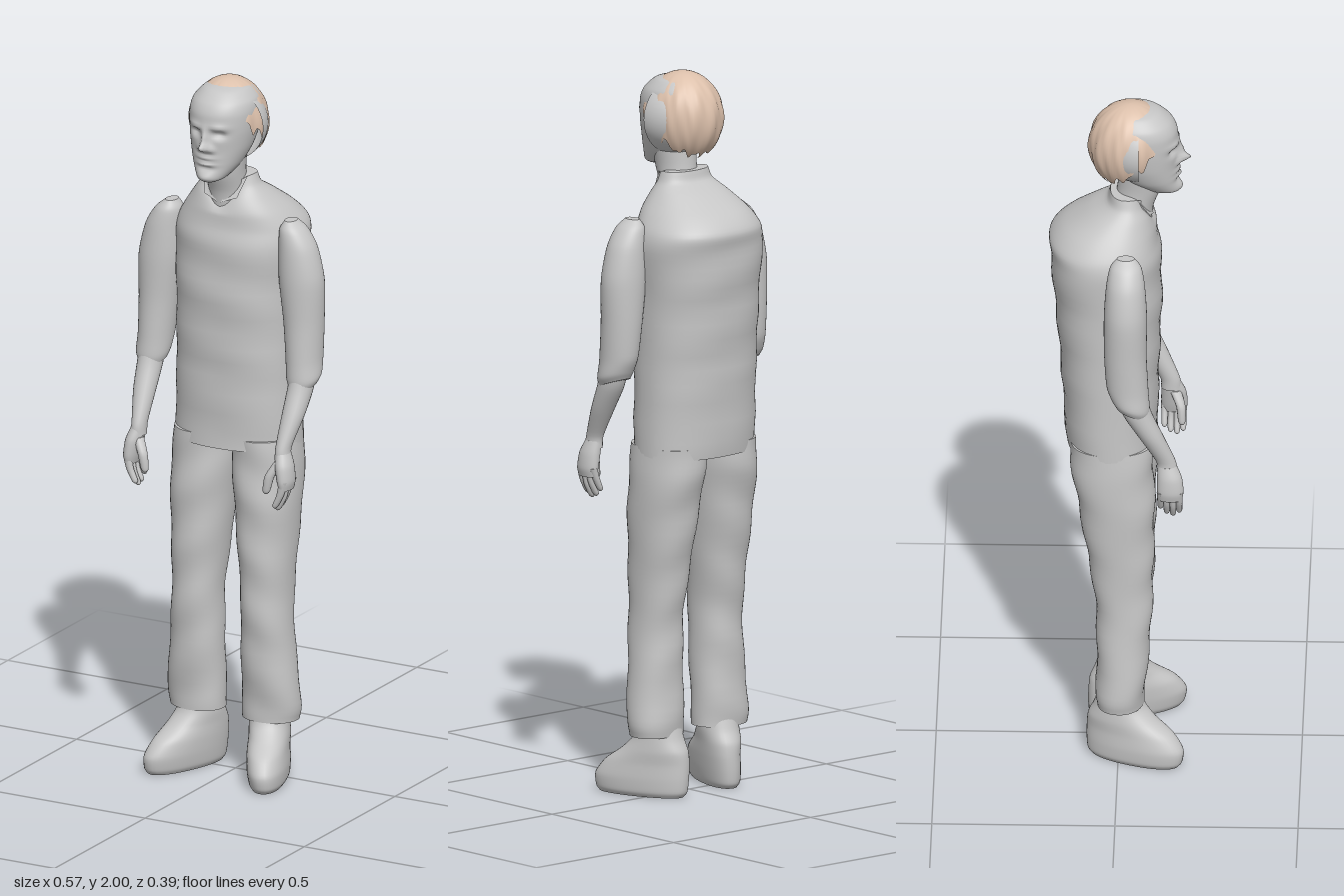
import * as THREE from 'three';

const grey = new THREE.MeshStandardMaterial({ color: 0xc6c6c6, side: THREE.DoubleSide });
grey.name = 'plain grey';
const tan = new THREE.MeshStandardMaterial({ color: 0xdcc0ab, side: THREE.DoubleSide });
tan.name = 'hair tan';

// Indexed grid of rows x cols quads, wrapping around each row
function ringGeometry(points, rows, cols, flip) {
  const index = [];
  for (let i = 0; i < rows - 1; i++) {
    for (let j = 0; j < cols; j++) {
      const k = (j + 1) % cols;
      const a = i * cols + j, b = i * cols + k, c = a + cols, d = b + cols;
      if (flip) index.push(a, c, b, b, c, d);
      else index.push(a, b, c, b, d, c);
    }
  }
  const geo = new THREE.BufferGeometry();
  geo.setAttribute('position', new THREE.Float32BufferAttribute(points, 3));
  geo.setIndex(index);
  geo.computeVertexNormals();
  return geo;
}

// Smooth loft through rows [y, cx, cz, rx, rz], listed from bottom to top.
// side mirrors x, power squares the section, rule moves each point.
function loft(name, rows, { side = 1, power = 2, rule, steps = 5, cols = 40, yaw = 0 } = {}) {
  const group = new THREE.Group();
  group.name = name;
  const centres = new THREE.CatmullRomCurve3(rows.map(r => new THREE.Vector3(r[1], r[0], r[2])), false, 'catmullrom', 0.4);
  const radii = new THREE.CatmullRomCurve3(rows.map(r => new THREE.Vector3(r[3], 0, r[4])), false, 'catmullrom', 0.4);
  const n = (rows.length - 1) * steps, points = [], p = new THREE.Vector3();
  const round = v => Math.sign(v) * Math.abs(v) ** (2 / power);
  for (let i = 0; i <= n; i++) {
    const c = centres.getPoint(i / n), r = radii.getPoint(i / n);
    for (let j = 0; j < cols; j++) {
      const a = j / cols * Math.PI * 2;
      const x = round(Math.sin(a)) * r.x, z = round(Math.cos(a)) * r.z;
      p.set(c.x + x * Math.cos(yaw) + z * Math.sin(yaw), c.y, c.z - x * Math.sin(yaw) + z * Math.cos(yaw));
      if (rule) rule(p);
      points.push(p.x * side, p.y, p.z);
    }
  }
  const body = new THREE.Mesh(ringGeometry(points, n + 1, cols, side < 0), grey);
  body.name = name + 'Surface';
  group.add(body);

  // end caps as separate fans so their edges stay sharp
  for (const row of [0, n]) {
    const ring = points.slice(row * cols * 3, (row + 1) * cols * 3);
    const mid = centres.getPoint(row / n);
    if (rule) rule(mid);
    const fan = [];
    for (let j = 0; j < cols; j++) fan.push(mid.x * side, mid.y, mid.z);
    const cap = new THREE.Mesh(ringGeometry(row ? [...ring, ...fan] : [...fan, ...ring], 2, cols, side < 0), grey);
    cap.name = name + (row ? 'Top' : 'Bottom');
    group.add(cap);
  }
  return group;
}

const bell = (v, width) => Math.exp(-((v / width) ** 2));

// Face relief: [x, y, width, height, depth], pushed along z
const relief = [
  [0, 1.832, 0.014, 0.012, 0.03], [0, 1.855, 0.010, 0.025, 0.016],
  [0.019, 1.825, 0.010, 0.009, 0.008], [-0.019, 1.825, 0.010, 0.009, 0.008],
  [0.036, 1.868, 0.019, 0.011, -0.014], [-0.036, 1.868, 0.019, 0.011, -0.014],
  [0.037, 1.888, 0.024, 0.008, 0.007], [-0.037, 1.888, 0.024, 0.008, 0.007],
  [0, 1.800, 0.026, 0.006, 0.009], [0, 1.784, 0.022, 0.006, 0.009],
  [0, 1.792, 0.026, 0.003, -0.006], [0, 1.770, 0.026, 0.007, -0.006], [0, 1.746, 0.024, 0.012, 0.008],
];
function faceRule(p) {
  if (p.z < 0.075) return;
  const front = Math.min(1, (p.z - 0.075) / 0.04);
  let dz = 0;
  for (const [x, y, w, h, d] of relief) dz += d * bell(p.x + 0.004 - x, w) * bell(p.y - y, h);
  p.z += dz * front;
}

function makeHair() {
  const cols = 96, rows = 26, points = [];
  for (let i = 0; i < rows; i++) {
    for (let j = 0; j < cols; j++) {
      const a = j / cols * Math.PI * 2;
      const front = (1 + Math.cos(a)) / 2;
      // ragged hairline: short over the brow, long at the nape
      const edge = 2.42 - 1.35 * front ** 1.4 + 0.09 * Math.sin(a * 13) + 0.06 * Math.sin(a * 23 + 1)
        - 0.3 * bell(a - 0.25, 0.16);
      const t = edge * i / (rows - 1);
      const lock = 1 + 0.018 * Math.sin(a * 11 + t * 3) * Math.sin(t) + 0.012 * Math.sin(a * 21 - t * 5) * Math.sin(t);
      const s = Math.sin(t) * lock;
      const x = s * Math.sin(a) * 0.107, z = s * Math.cos(a) * 0.114;
      points.push(x - 0.004 + z * 0.1, 1.872 + Math.cos(t) * 0.128, 0.031 + z - x * 0.1);
    }
  }
  const hair = new THREE.Mesh(ringGeometry(points, rows, cols, true), tan);
  hair.name = 'hair';
  return hair;
}

export function createModel() {
  const model = new THREE.Group();
  model.name = 'standingMan';

  // Shirt, with the neckline dipping at the front
  model.add(loft('shirt', [
    [0.95, 0, -0.02, 0.182, 0.125], [1.2, 0, -0.025, 0.179, 0.135], [1.4, 0, -0.03, 0.18, 0.147],
    [1.53, 0.003, -0.037, 0.188, 0.151], [1.58, 0.003, -0.041, 0.179, 0.149], [1.625, 0.002, -0.024, 0.15, 0.128],
    [1.67, 0, 0.0, 0.112, 0.088], [1.7, 0, 0.018, 0.086, 0.054], [1.73, 0, 0.02, 0.074, 0.044],
  ], {
    power: 2.25, cols: 64,
    rule: p => {
      const t = THREE.MathUtils.clamp((p.y - 1.62) / 0.11, 0, 1);
      if (p.z > 0.02) p.y -= 0.06 * t * bell(p.x, 0.04) * Math.min(1, (p.z - 0.02) / 0.03);
      p.z += 0.003 * Math.sin(p.y * 42 + p.x * 9) * (1 - t);
    },
  }));

  // Collar flaps
  for (const side of [-1, 1]) {
    const flap = new THREE.BufferGeometry();
    const pts = [0.006, 1.655, 0.094, 0.052, 1.672, 0.085, 0.066, 1.728, 0.05, 0.038, 1.71, 0.075];
    flap.setAttribute('position', new THREE.Float32BufferAttribute(pts.map((v, i) => i % 3 ? v : v * side), 3));
    flap.setIndex(side > 0 ? [0, 1, 2, 0, 2, 3] : [0, 2, 1, 0, 3, 2]);
    flap.computeVertexNormals();
    const mesh = new THREE.Mesh(flap, grey);
    mesh.name = side > 0 ? 'leftCollar' : 'rightCollar';
    model.add(mesh);
  }

  // Neck and head
  model.add(loft('neck', [
    [1.6, 0, 0.03, 0.056, 0.056], [1.68, 0, 0.04, 0.054, 0.054], [1.74, 0, 0.055, 0.055, 0.06], [1.8, 0, 0.06, 0.062, 0.06],
  ]));
  model.add(loft('head', [
    [1.73, -0.004, 0.135, 0.02, 0.022], [1.74, -0.004, 0.12, 0.04, 0.046], [1.775, -0.004, 0.088, 0.065, 0.074],
    [1.82, -0.003, 0.067, 0.082, 0.092], [1.87, -0.002, 0.055, 0.091, 0.107], [1.92, -0.002, 0.05, 0.093, 0.109],
    [1.95, -0.002, 0.046, 0.086, 0.098], [1.977, -0.002, 0.042, 0.062, 0.07], [1.988, -0.002, 0.04, 0.03, 0.034],
  ], { power: 2.1, cols: 96, steps: 8, rule: faceRule }));

  // Half dome under the hair, open at the front
  const dome = new THREE.Mesh(new THREE.SphereGeometry(1, 32, 24, 0, Math.PI), grey);
  dome.name = 'scalpShell';
  dome.scale.set(0.117, 0.107, 0.117);
  dome.rotation.y = Math.PI;
  dome.position.set(0, 1.874, 0.055);
  model.add(dome, makeHair());

  for (const side of [1, -1]) {
    const label = side > 0 ? 'left' : 'right';

    // Sleeve and forearm
    model.add(loft(label + 'Sleeve', [
      [1.165, 0.235, 0.04, 0.04, 0.044], [1.185, 0.236, 0.037, 0.048, 0.052], [1.23, 0.232, 0.028, 0.05, 0.057],
      [1.33, 0.227, 0.022, 0.056, 0.058], [1.45, 0.22, 0.022, 0.064, 0.059], [1.54, 0.209, 0.022, 0.054, 0.053],
      [1.59, 0.195, 0.022, 0.038, 0.043], [1.615, 0.187, 0.022, 0.016, 0.024],
    ], { side, rule: p => { p.y += THREE.MathUtils.clamp((1.25 - p.y) / 0.08, 0, 1) * (0.03 - p.z) * 0.35; } }));
    model.add(loft(label + 'Forearm', [
      [0.965, 0.227, 0.137, 0.022, 0.028], [1.0, 0.226, 0.132, 0.021, 0.027], [1.08, 0.233, 0.092, 0.031, 0.034],
      [1.15, 0.236, 0.056, 0.035, 0.04], [1.22, 0.236, 0.035, 0.034, 0.04],
    ], { side, cols: 24 }));

    // Hand: palm, four fingers and thumb
    const hand = new THREE.Group();
    hand.name = label + 'Hand';
    hand.add(loft('palm', [
      [0.885, 0.242, 0.145, 0.016, 0.032], [0.91, 0.241, 0.145, 0.022, 0.036],
      [0.95, 0.235, 0.143, 0.024, 0.034], [0.985, 0.227, 0.136, 0.02, 0.026],
    ], { side, cols: 24 }));
    for (let f = 0; f < 4; f++) {
      const z = 0.118 + f * 0.017, tip = 0.822 + [0.022, 0.006, 0, 0.01][f];
      hand.add(loft('finger', [
        [tip, 0.219, z, 0.003, 0.003], [tip + 0.008, 0.221, z, 0.009, 0.008],
        [tip + 0.04, 0.236, z, 0.011, 0.009], [0.91, 0.245, z, 0.012, 0.01],
      ], { side, cols: 12, steps: 4 }));
    }
    hand.add(loft('thumb', [
      [0.868, 0.19, 0.167, 0.004, 0.004], [0.878, 0.191, 0.166, 0.011, 0.01],
      [0.92, 0.2, 0.163, 0.014, 0.013], [0.96, 0.222, 0.147, 0.015, 0.016],
    ], { side, cols: 12 }));
    model.add(hand);

    // Trouser leg
    model.add(loft(label + 'TrouserLeg', [
      [0.17, 0.114, 0.005, 0.08, 0.064], [0.22, 0.117, 0.007, 0.083, 0.067], [0.4, 0.11, 0.015, 0.073, 0.074],
      [0.52, 0.108, 0.014, 0.069, 0.08], [0.65, 0.104, 0.005, 0.077, 0.092], [0.8, 0.1, -0.006, 0.088, 0.105],
      [0.9, 0.094, -0.016, 0.093, 0.112], [0.98, 0.09, -0.02, 0.09, 0.113],
    ], { side, power: 2.15, rule: p => { p.z += 0.003 * Math.sin(p.y * 38 + p.x * 20); } }));

    // Shoe, turned outwards
    model.add(loft(label + 'Shoe', [
      [0, 0.132, 0.046, 0.044, 0.126], [0.015, 0.132, 0.046, 0.052, 0.137], [0.05, 0.13, 0.046, 0.056, 0.14],
      [0.09, 0.122, 0.033, 0.056, 0.125], [0.125, 0.114, 0.012, 0.056, 0.098],
      [0.16, 0.108, 0.004, 0.055, 0.072], [0.21, 0.106, 0.002, 0.05, 0.054],
    ], { side, power: 2.2, yaw: 0.36 }));
  }
  return model;
}
